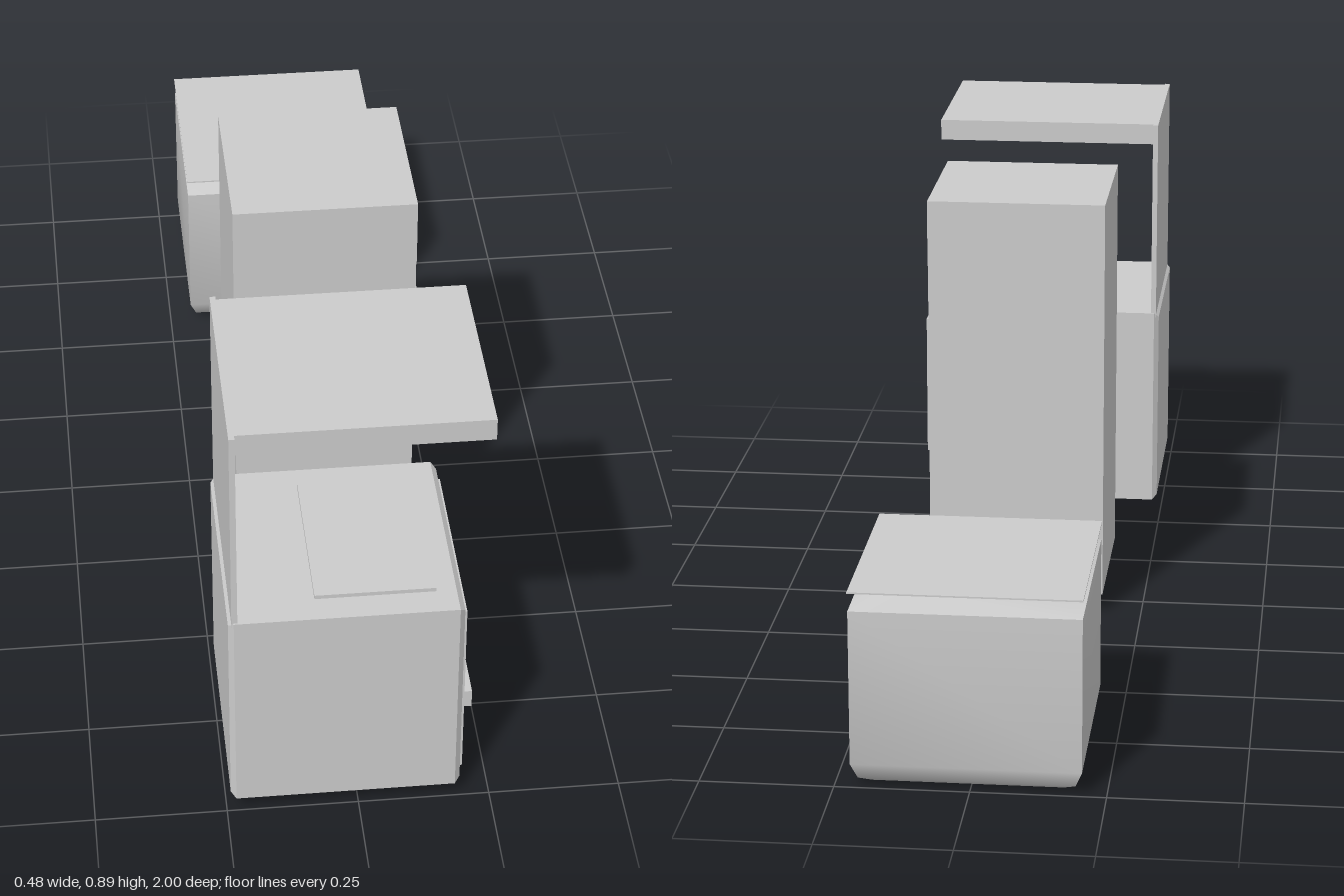
import * as THREE from 'three';
import { toCreasedNormals } from 'three/addons/utils/BufferGeometryUtils.js';

const material = new THREE.MeshStandardMaterial({ color: 0xcccccc });

function add(group, name, geometry) {
  const mesh = new THREE.Mesh(geometry, material);
  mesh.name = name;
  group.add(mesh);
  return mesh;
}

// Box given by its lower and upper limits on each axis
function box(group, name, [x0, x1], [y0, y1], [z0, z1]) {
  const mesh = add(group, name, new THREE.BoxGeometry(x1 - x0, y1 - y0, z1 - z0));
  mesh.position.set((x0 + x1) / 2, (y0 + y1) / 2, (z0 + z1) / 2);
}

// Rectangle in the z-y plane (drawn with -z as the horizontal axis)
function rect(Type, [y0, y1], [z0, z1]) {
  const p = new Type();
  p.moveTo(-z1, y0).lineTo(-z0, y0).lineTo(-z0, y1).lineTo(-z1, y1).closePath();
  return p;
}

// Extrude a z-y outline along x, with an optional chamfer
function slab(group, name, shape, [x0, x1], bevel = 0) {
  const g = new THREE.ExtrudeGeometry(shape, {
    depth: x1 - x0 - 2 * bevel, bevelEnabled: bevel > 0, bevelThickness: bevel,
    bevelSize: bevel, bevelOffset: -bevel, bevelSegments: 1,
  });
  g.rotateY(Math.PI / 2).translate(x0 + bevel, 0, 0);
  add(group, name, g);
}

function makeStove() {
  const stove = new THREE.Group();
  stove.name = 'stove';
  const windowY = [0.205, 0.385], windowZ = [0.652, 0.918];

  // Chamfered body with a recessed oven window
  const body = rect(THREE.Shape, [0.03, 0.465], [0.565, 1]);
  body.holes.push(rect(THREE.Path, windowY, windowZ));
  slab(stove, 'stoveBody', body, [-0.242, 0.194], 0.01);
  box(stove, 'ovenWindow', [-0.242, 0.175], [0.19, 0.4], [0.64, 0.93]);

  // Door frame and handle
  const door = rect(THREE.Shape, [0.055, 0.44], [0.588, 0.977]);
  door.holes.push(rect(THREE.Path, windowY, windowZ));
  slab(stove, 'ovenDoor', door, [0.19, 0.2]);
  box(stove, 'ovenHandle', [0.198, 0.231], [0.111, 0.149], [0.688, 0.876]);

  // Cooktop, back panel and hood
  box(stove, 'cooktop', [-0.079, 0.146], [0.46, 0.473], [0.618, 0.944]);
  box(stove, 'backPanel', [-0.236, -0.225], [0.455, 0.889], [0.568, 0.997]);
  box(stove, 'hood', [-0.23, 0.24], [0.845, 0.889], [0.577, 0.986]);
  return stove;
}

function makeFridge() {
  const fridge = new THREE.Group();
  fridge.name = 'fridge';
  const [y0, y1, z0, z1] = [0.04, 0.87, -0.072, 0.277];
  const [n0, n1, depth] = [0.17, 0.735, 0.007];
  box(fridge, 'fridgeBody', [-0.17, 0.165], [y0, y1], [z0, z1]);

  // Door face with a central groove and a finger notch down each side
  const face = new THREE.Shape([
    [-z1, y0], [-z0, y0], [-z0, n0], [-z0 - depth, n0], [-z0 - depth, n1], [-z0, n1],
    [-z0, y1], [-z1, y1], [-z1, n1], [-z1 + depth, n1], [-z1 + depth, n0], [-z1, n0],
  ].map(([u, y]) => new THREE.Vector2(u, y)));
  face.holes.push(rect(THREE.Path, [n0, n1], [0.097, 0.108]));
  slab(fridge, 'fridgeDoors', face, [0.165, 0.189]);

  // Handles either side of the groove
  for (const s of [-1, 1]) {
    const z = 0.1025 + s * 0.049;
    box(fridge, 'fridgeHandle', [0.188, 0.205], [0.309, 0.594], [z - 0.023, z + 0.023]);
  }
  return fridge;
}

// Square turned form from [half width, height] pairs
function squareLathe(points) {
  const profile = points.map(([half, y]) => new THREE.Vector2(half * Math.SQRT2, y));
  const g = new THREE.LatheGeometry(profile, 4, Math.PI / 4);
  return toCreasedNormals(g, 0.7);
}

function makeBin() {
  const bin = new THREE.Group();
  bin.name = 'bin';
  // Body with a tapered foot and sloping shoulder
  add(bin, 'binBody', squareLathe([
    [0, 0], [0.176, 0], [0.2, 0.014], [0.2125, 0.045], [0.2125, 0.343], [0.155, 0.368], [0, 0.368],
  ]));
  // Thin flared lid
  add(bin, 'binLid', squareLathe([[0, 0.367], [0.155, 0.367], [0.2135, 0.377], [0.2135, 0.38], [0, 0.38]]));
  bin.position.set(0.0075, 0, -0.7865);
  return bin;
}

export function createModel() {
  const model = new THREE.Group();
  model.name = 'kitchenAppliances';
  model.add(makeStove(), makeFridge(), makeBin());
  return model;
}
